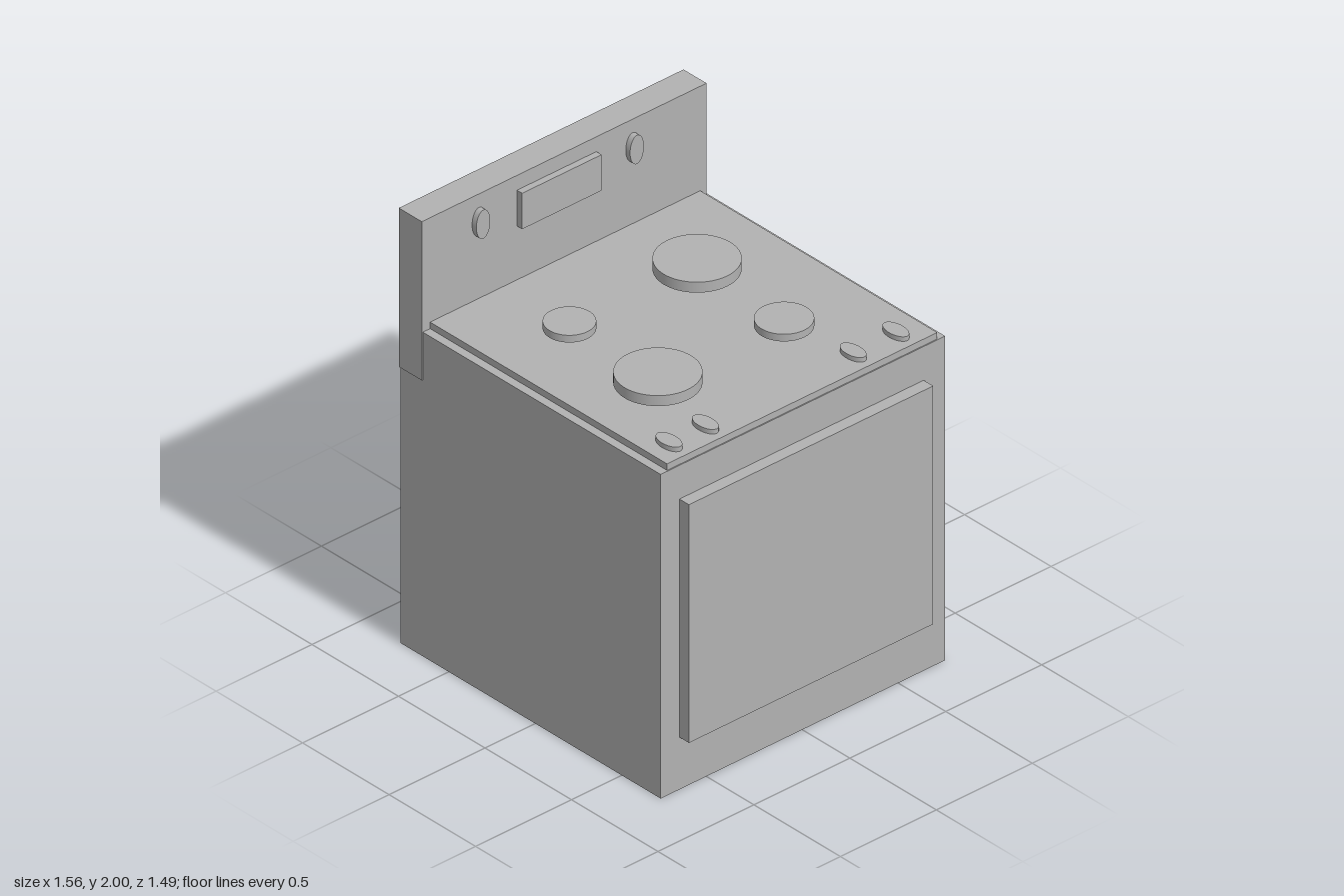
import * as THREE from 'three';

export function createModel() {
  const model = new THREE.Group();
  model.name = 'stove';
  const enamel = new THREE.MeshStandardMaterial({ color: 0xb2b2b2 });
  enamel.name = 'grey enamel';

  const add = (name, geometry) => {
    const mesh = new THREE.Mesh(geometry, enamel);
    mesh.name = name;
    model.add(mesh);
    return mesh;
  };

  // Box given by its limits on each axis
  const box = (name, x0, x1, y0, y1, z0, z1) =>
    add(name, new THREE.BoxGeometry(x1 - x0, y1 - y0, z1 - z0))
      .position.set((x0 + x1) / 2, (y0 + y1) / 2, (z0 + z1) / 2);

  // Cabinet, cooktop and backsplash
  box('cabinet', -0.78, 0.725, 0, 1.49, -0.745, 0.738);
  box('cooktop', -0.66, 0.72, 1.48, 1.52, -0.708, 0.7);
  box('backsplash', -0.783, -0.65, 1.27, 2, -0.741, 0.743);

  // Oven door on the +x side, with a small catch below it
  box('ovenDoor', 0.725, 0.78, 0.24, 1.335, -0.633, 0.64);
  box('doorCatch', 0.72, 0.73, 0.233, 0.245, -0.005, 0.125);

  // Display panel on the backsplash
  box('displayPanel', -0.655, -0.62, 1.767, 1.932, -0.167, 0.247);

  // Burners: x, z, radius, bottom, top
  const burners = [
    [-0.22, -0.304, 0.173, 1.54, 1.588],
    [0.283, 0.354, 0.173, 1.54, 1.588],
    [0.313, -0.277, 0.117, 1.545, 1.578],
    [-0.228, 0.354, 0.104, 1.545, 1.578],
  ];
  for (const [x, z, r, y0, y1] of burners) {
    add('burner', new THREE.CylinderGeometry(r, r, y1 - y0, 64))
      .position.set(x, (y0 + y1) / 2, z);
  }

  // Oval knobs on the cooktop
  const ovalKnob = (height) =>
    new THREE.CylinderGeometry(1, 1, height, 48).scale(0.066, 1, 0.036);
  for (const z of [-0.583, -0.36, 0.41, 0.6]) {
    add('cooktopKnob', ovalKnob(0.026)).position.set(0.62, 1.528, z);
  }

  // Upright oval knobs on the backsplash
  for (const z of [-0.356, 0.445]) {
    add('backsplashKnob', ovalKnob(0.03).rotateZ(-Math.PI / 2))
      .position.set(-0.64, 1.872, z);
  }

  return model;
}
